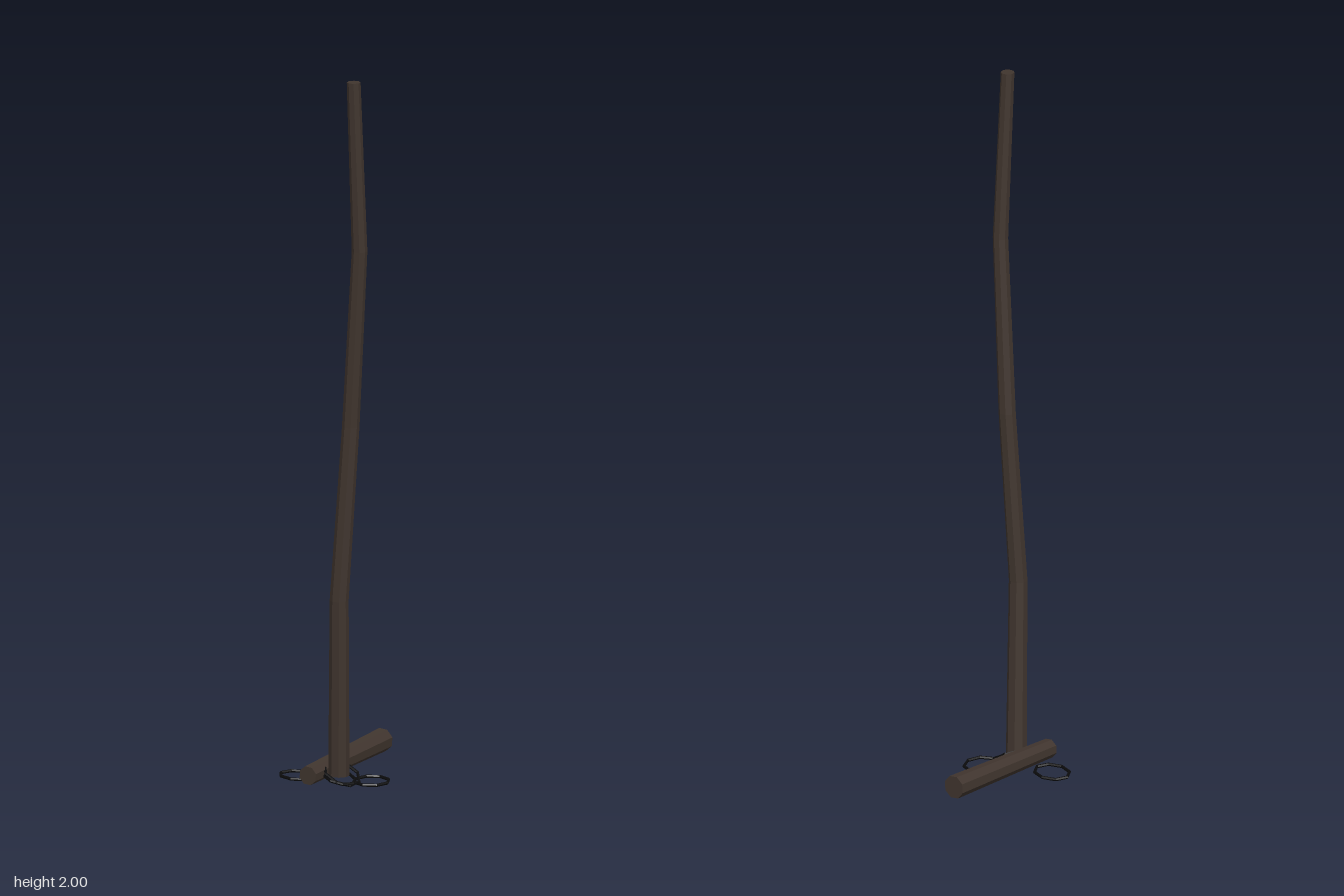
import * as THREE from 'three';

// separate faces for a faceted look
function facet(geometry) {
  const g = geometry.toNonIndexed();
  g.computeVertexNormals();
  return g;
}

// upright eight-sided pole through [x, y, z, radius] stations
function poleGeometry(stations) {
  const n = stations.length - 1;
  const g = new THREE.CylinderGeometry(1, 1, 1, 8, n);
  const p = g.attributes.position;
  for (let i = 0; i < p.count; i++) {
    const [x, y, z, r] = stations[Math.round((p.getY(i) + 0.5) * n)];
    p.setXYZ(i, x + p.getX(i) * r, y, z + p.getZ(i) * r);
  }
  return facet(g);
}

export function createModel() {
  const group = new THREE.Group();
  const wood = new THREE.MeshStandardMaterial({ color: 0x40352e });
  wood.name = 'darkWood';
  const rope = new THREE.MeshStandardMaterial({ color: 0x0c0c0d });
  rope.name = 'blackCord';

  function add(name, geometry, material) {
    const mesh = new THREE.Mesh(geometry, material);
    mesh.name = name;
    group.add(mesh);
    return mesh;
  }

  // long crooked handle
  add('handle', poleGeometry([
    [0.035, 0.03, 0.11, 0.029],
    [0.06, 0.53, 0.133, 0.026],
    [0.087, 1.02, 0.115, 0.024],
    [0.127, 1.52, 0.12, 0.0215],
    [0.132, 2.0, 0.147, 0.019],
  ]), wood);

  // short log lying across the foot
  const back = new THREE.Vector3(-0.115, 0.053, -0.198);
  const front = new THREE.Vector3(0.004, 0.038, 0.198);
  const axis = back.clone().sub(front);
  const log = add('crossLog',
    facet(new THREE.CylinderGeometry(0.033, 0.027, axis.length(), 8)), wood);
  log.position.copy(back).add(front).multiplyScalar(0.5);
  log.quaternion.setFromUnitVectors(new THREE.Vector3(0, 1, 0), axis.normalize());

  // cord: two loose bow loops and two wraps round the joint
  // [name, centre, half length, half width, turn about y, tilt about z]
  const loops = [
    ['rightLoop', [-0.093, 0.013, 0.141], 0.058, 0.046, -0.1, 0],
    ['leftLoop', [0.071, 0.006, 0.021], 0.056, 0.049, -0.85, 0],
    ['upperWrap', [0.036, 0.034, 0.1], 0.053, 0.052, -0.6, -0.5],
    ['lowerWrap', [0.036, 0.026, 0.11], 0.05, 0.043, -0.2, -0.25],
  ];
  for (const [name, centre, a, b, turn, tilt] of loops) {
    const g = new THREE.TorusGeometry(1, 0.0045 / 0.052, 6, 8);
    g.rotateX(-Math.PI / 2).rotateY(Math.PI / 8).scale(a, 0.052, b);
    g.rotateY(turn).rotateZ(tilt);
    add(name, facet(g), rope).position.set(...centre);
  }
  return group;
}
